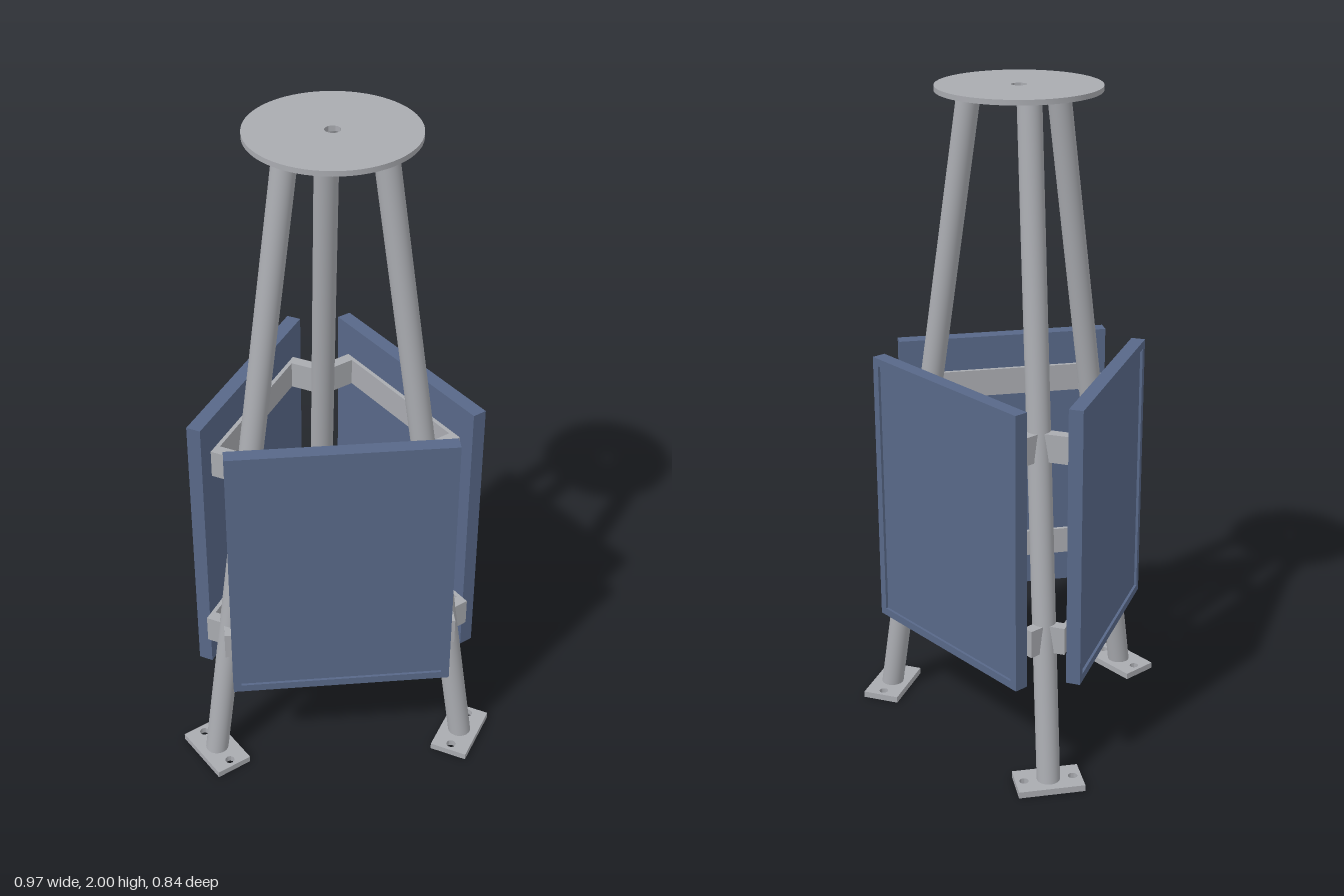
import * as THREE from 'three';
import { toCreasedNormals } from 'three/addons/utils/BufferGeometryUtils.js';

const steel = new THREE.MeshStandardMaterial({ color: 0xa9abb0 });
steel.name = 'steel grey';
const blue = new THREE.MeshStandardMaterial({ color: 0x586888 });
blue.name = 'panel blue';

const FOOT_R = 0.445, TOP_R = 0.145, HEIGHT = 2;
const legRadiusAt = (y) => FOOT_R + (TOP_R - FOOT_R) * (y / HEIGHT);

function add(parent, name, geometry, material, x = 0, y = 0, z = 0) {
  const mesh = new THREE.Mesh(geometry, material);
  mesh.name = name;
  mesh.position.set(x, y, z);
  parent.add(mesh);
  return mesh;
}

const box = (w, h, d) => new THREE.BoxGeometry(w, h, d);

function rectangle(w, h, Type = THREE.Shape) {
  const s = new Type();
  s.moveTo(-w / 2, -h / 2);
  s.lineTo(w / 2, -h / 2);
  s.lineTo(w / 2, h / 2);
  s.lineTo(-w / 2, h / 2);
  s.closePath();
  return s;
}

function drill(shape, x, y, r) {
  shape.holes.push(new THREE.Path().absarc(x, y, r, 0, Math.PI * 2, true));
}

// Horizontal plate rising from y = 0
function plate(shape, thickness) {
  const g = new THREE.ExtrudeGeometry(shape, { depth: thickness, bevelEnabled: false, curveSegments: 32 });
  g.rotateX(-Math.PI / 2);
  return toCreasedNormals(g, 0.6);
}

// Sloping tube with level ends, plus its drilled foot plate
function buildLeg() {
  const leg = new THREE.Group();
  leg.name = 'leg';
  const y0 = 0.015, y1 = 1.988;
  const tube = new THREE.CylinderGeometry(0.035, 0.035, y1 - y0, 32);
  tube.translate(0, (y0 + y1) / 2, 0);
  const slope = (TOP_R - FOOT_R) / HEIGHT;
  tube.applyMatrix4(new THREE.Matrix4().set(
    1, 0, 0, 0,
    0, 1, 0, 0,
    0, slope, 1, FOOT_R,
    0, 0, 0, 1));
  add(leg, 'legTube', tube, steel);

  const foot = rectangle(0.2, 0.115);
  for (const side of [-1, 1]) drill(foot, side * 0.074, 0, 0.014);
  add(leg, 'footPlate', plate(foot, 0.02), steel, 0, 0, FOOT_R - 0.002);
  return leg;
}

// Board with a shallow recessed face inside a raised border
function buildPanel() {
  const panel = new THREE.Group();
  panel.name = 'panel';
  const w = 0.65, h = 0.86, border = 0.024, y = 0.75;
  add(panel, 'panelBoard', box(w, h, 0.035), blue, 0, y, 0.2725);
  const frame = rectangle(w, h);
  frame.holes.push(rectangle(w - 2 * border, h - 2 * border, THREE.Path));
  const rim = new THREE.ExtrudeGeometry(frame, { depth: 0.008, bevelEnabled: false });
  add(panel, 'panelBorder', rim, blue, 0, y, 0.29);
  return panel;
}

// Cross rail behind the panel with a stub reaching each neighbouring leg
function buildBracket(y) {
  const bracket = new THREE.Group();
  bracket.name = 'bracket';
  const r = legRadiusAt(y), height = 0.085, stubWidth = 0.034;
  const x = r * Math.sin(Math.PI / 3) + 0.002;
  const zLeg = r * 0.5;
  const zBack = 0.255;
  add(bracket, 'rail', box(2 * x + stubWidth, height, 0.012), steel, 0, y, zBack - 0.006);
  for (const side of [-1, 1]) {
    const depth = zBack - zLeg - 0.012;
    add(bracket, 'stub', box(stubWidth, height, depth), steel, side * x, y, zBack - 0.012 - depth / 2);
  }
  return bracket;
}

export function createModel() {
  const model = new THREE.Group();
  model.name = 'tripodStand';
  const tripod = new THREE.Group();
  tripod.name = 'tripod';
  tripod.position.z = 0.08;
  model.add(tripod);

  // Round top plate with a centre hole
  const disc = new THREE.Shape().absarc(0, 0, 0.238, 0, Math.PI * 2, false);
  drill(disc, 0, 0, 0.022);
  add(tripod, 'topPlate', plate(disc, 0.015), steel, 0, 1.985, 0);

  // Three identical sides, each a panel, its brackets and one leg
  for (let i = 0; i < 3; i++) {
    const side = new THREE.Group();
    side.name = 'side';
    side.rotation.y = (i * Math.PI * 2) / 3;
    const leg = buildLeg();
    leg.rotation.y = Math.PI / 3;
    side.add(leg, buildPanel(), buildBracket(1.032), buildBracket(0.465));
    tripod.add(side);
  }
  return model;
}
